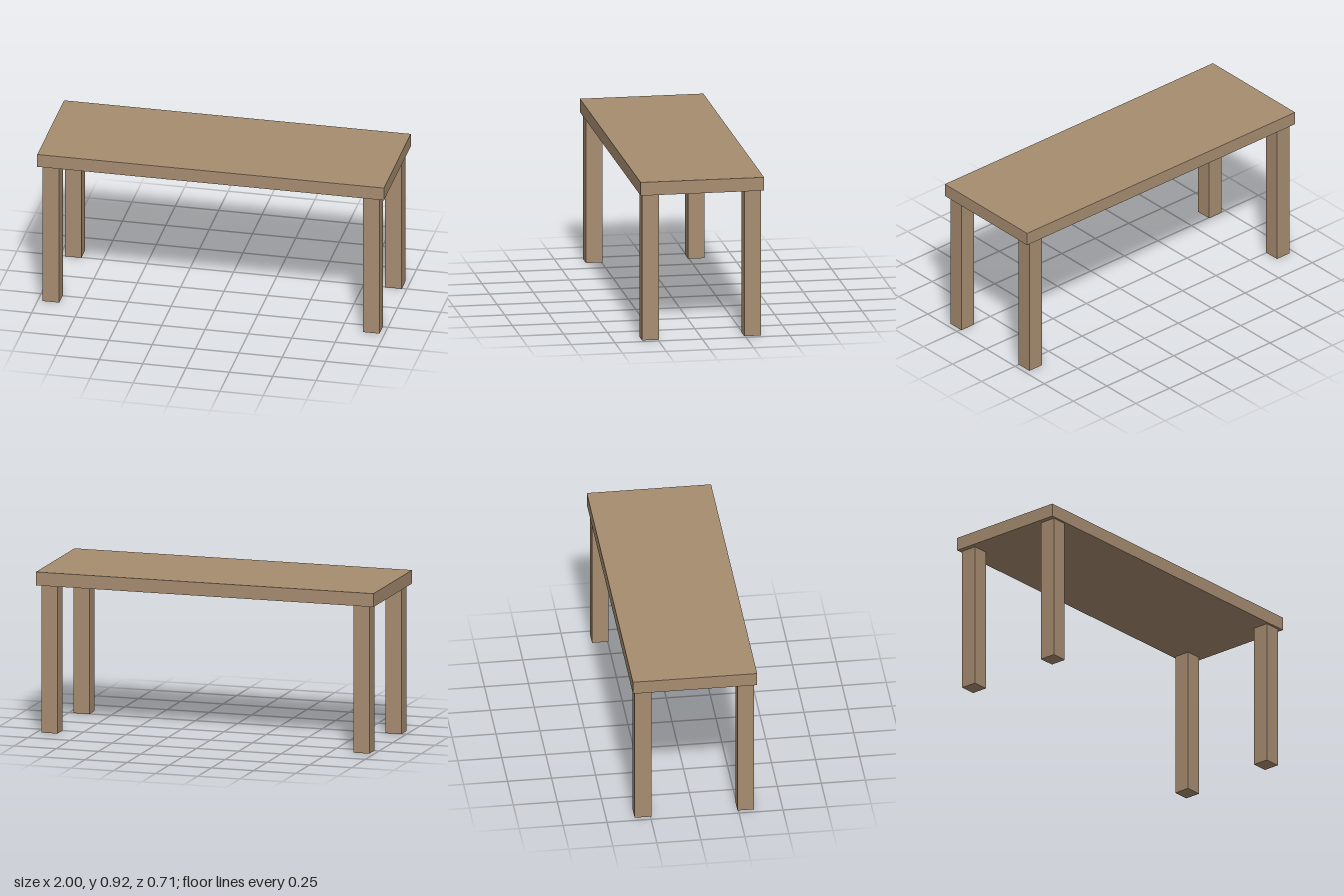
import * as THREE from 'three';

export function createModel() {
  const model = new THREE.Group();
  model.name = 'table';

  const wood = new THREE.MeshStandardMaterial({ color: 0xa68c70 });
  wood.name = 'light brown wood';

  const height = 0.924, topThickness = 0.077;
  const legHeight = height - topThickness, legWidth = 0.095;

  // Box standing on the given base height
  function addBox(name, width, tall, depth, x, base, z) {
    const mesh = new THREE.Mesh(new THREE.BoxGeometry(width, tall, depth), wood);
    mesh.name = name;
    mesh.position.set(x, base + tall / 2, z);
    model.add(mesh);
  }

  // Slab top, overhanging the legs slightly
  addBox('tableTop', 2, topThickness, 0.706, 0, legHeight, 0);

  // Four square legs, mirrored to each corner
  for (const [side, sx] of [['Left', 1], ['Right', -1]]) {
    for (const [end, sz] of [['front', 1], ['back', -1]]) {
      addBox(`${end}${side}Leg`, legWidth, legHeight, legWidth, sx * 0.924, 0, sz * 0.292);
    }
  }

  return model;
}
